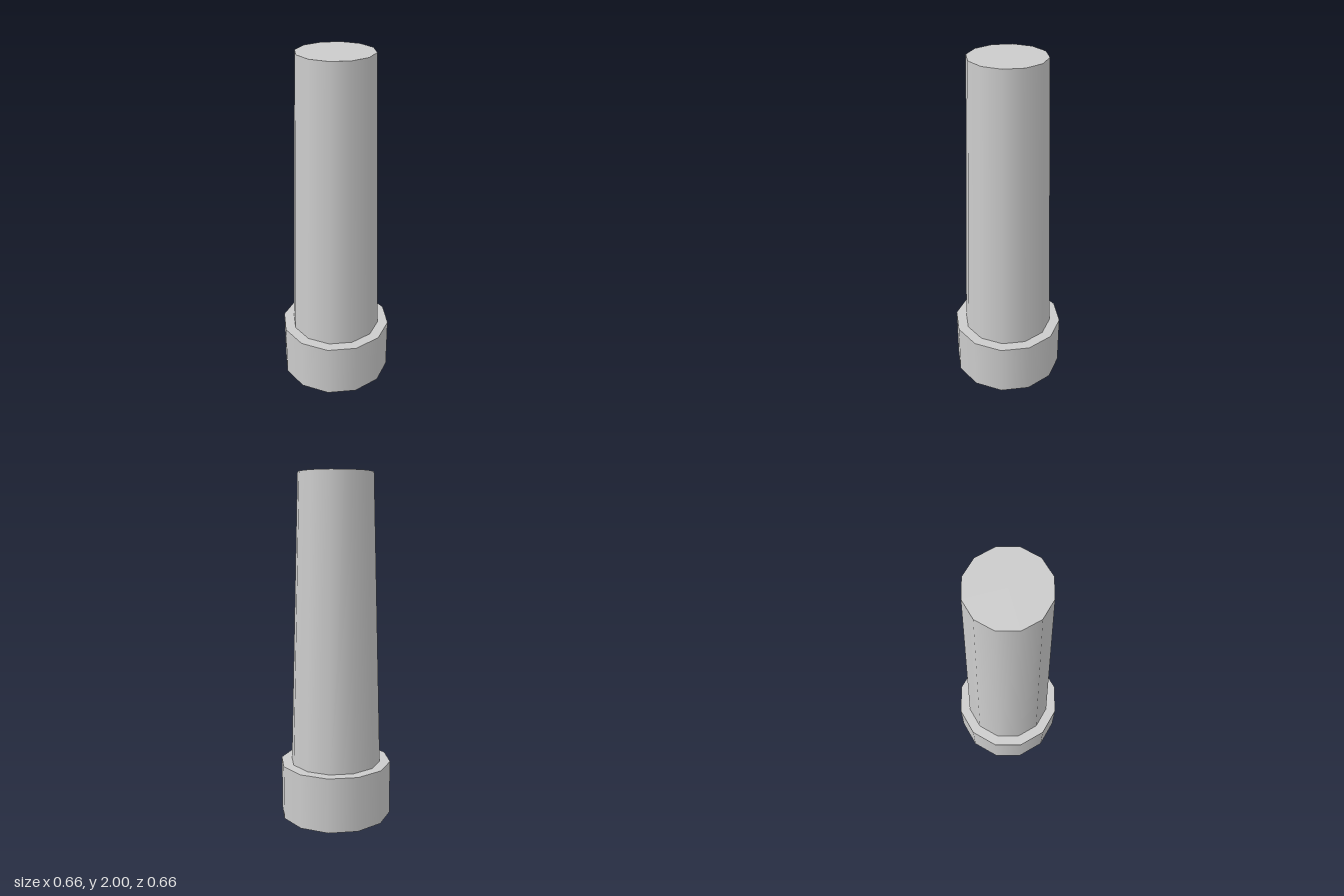
import * as THREE from 'three';

const SIDES = 12;

export function createModel() {
  const group = new THREE.Group();
  group.name = 'taperedPost';
  const material = new THREE.MeshStandardMaterial({ color: 0xcccccc });

  // Capped, smooth-sided cylinder standing between two heights
  const addSection = (name, topRadius, bottomRadius, y0, y1) => {
    const geometry = new THREE.CylinderGeometry(topRadius, bottomRadius, y1 - y0, SIDES);
    const mesh = new THREE.Mesh(geometry, material);
    mesh.name = name;
    mesh.position.y = (y0 + y1) / 2;
    group.add(mesh);
  };

  // Wide foot collar
  addSection('base', 0.328, 0.328, 0, 0.322);
  // Tapered shaft resting on the collar
  addSection('shaft', 0.216, 0.266, 0.322, 2);

  return group;
}
